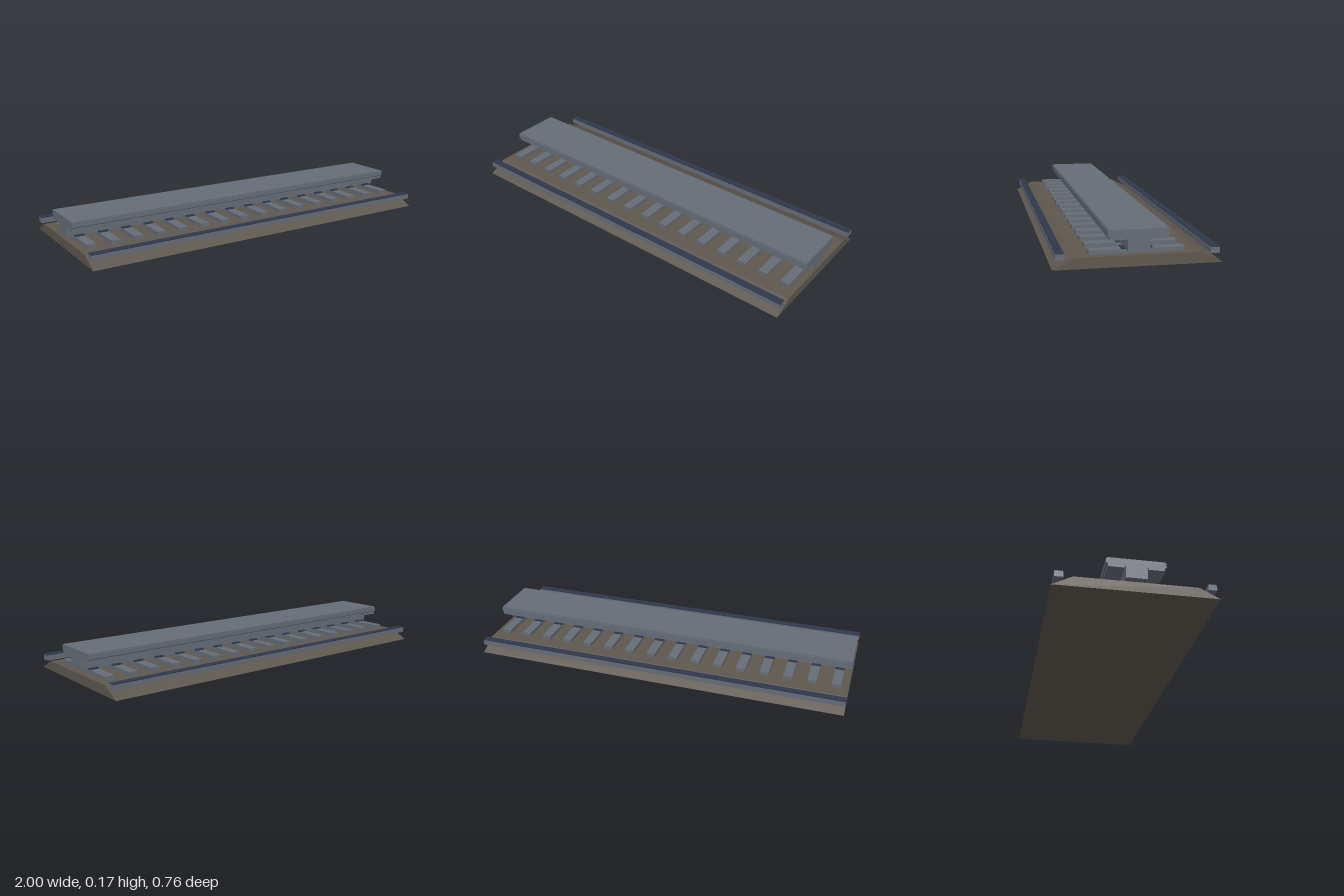
import * as THREE from 'three';

const LENGTH = 2;
const SLEEPERS = 16;

const material = (name, color) => {
  const m = new THREE.MeshStandardMaterial({ color });
  m.name = name;
  return m;
};

// Closed cross-section in (z, y), extruded along the full length of the track
function sweep(points) {
  const shape = new THREE.Shape(points.map(([z, y]) => new THREE.Vector2(-z, y)));
  const geometry = new THREE.ExtrudeGeometry(shape, { depth: LENGTH, bevelEnabled: false });
  geometry.translate(0, 0, -LENGTH / 2);
  geometry.rotateY(Math.PI / 2);
  return geometry;
}

// Completes a half section by mirroring it across z = 0
const symmetric = (half) => [...half, ...half.map(([z, y]) => [-z, y]).reverse()];

export function createModel() {
  const group = new THREE.Group();
  group.name = 'monorailTrack';

  const steel = material('steel grey', 0x666d78);
  const gravel = material('gravel brown', 0x5e574e);
  const navy = material('dark navy', 0x2f374c);

  const add = (name, geometry, mat, x = 0, y = 0, z = 0) => {
    const mesh = new THREE.Mesh(geometry, mat);
    mesh.name = name;
    mesh.position.set(x, y, z);
    group.add(mesh);
  };

  // Sloped gravel bed
  add('ballast', sweep(symmetric([[0.381, 0], [0.285, 0.05]])), gravel);

  // T-shaped running beam with stepped flange edges
  add('beam', sweep(symmetric([
    [0.05, 0.07], [0.05, 0.13], [0.053, 0.13], [0.053, 0.12],
    [0.13, 0.12], [0.13, 0.135], [0.138, 0.14], [0.138, 0.162],
    [0.134, 0.162], [0.134, 0.167],
  ])), steel);

  // Sleepers, each with a dark clamp on both sides of the beam
  const sleeper = new THREE.BoxGeometry(0.048, 0.02, 0.432);
  const clamp = new THREE.BoxGeometry(0.048, 0.006, 0.02);
  for (let i = 0; i < SLEEPERS; i++) {
    const x = -LENGTH / 2 + (i + 0.5) * LENGTH / SLEEPERS;
    add('sleeper', sleeper, steel, x, 0.06, 0);
    for (const side of [-1, 1]) add('clamp', clamp, navy, x, 0.073, side * 0.06);
  }

  // Outer conductor rails with dark contact strips on top
  const rail = new THREE.BoxGeometry(LENGTH, 0.027, 0.041);
  const strip = new THREE.BoxGeometry(LENGTH, 0.004, 0.037);
  for (const side of [-1, 1]) {
    add('sideRail', rail, steel, 0, 0.0565, side * 0.347);
    add('contactStrip', strip, navy, 0, 0.072, side * 0.347);
  }

  return group;
}
